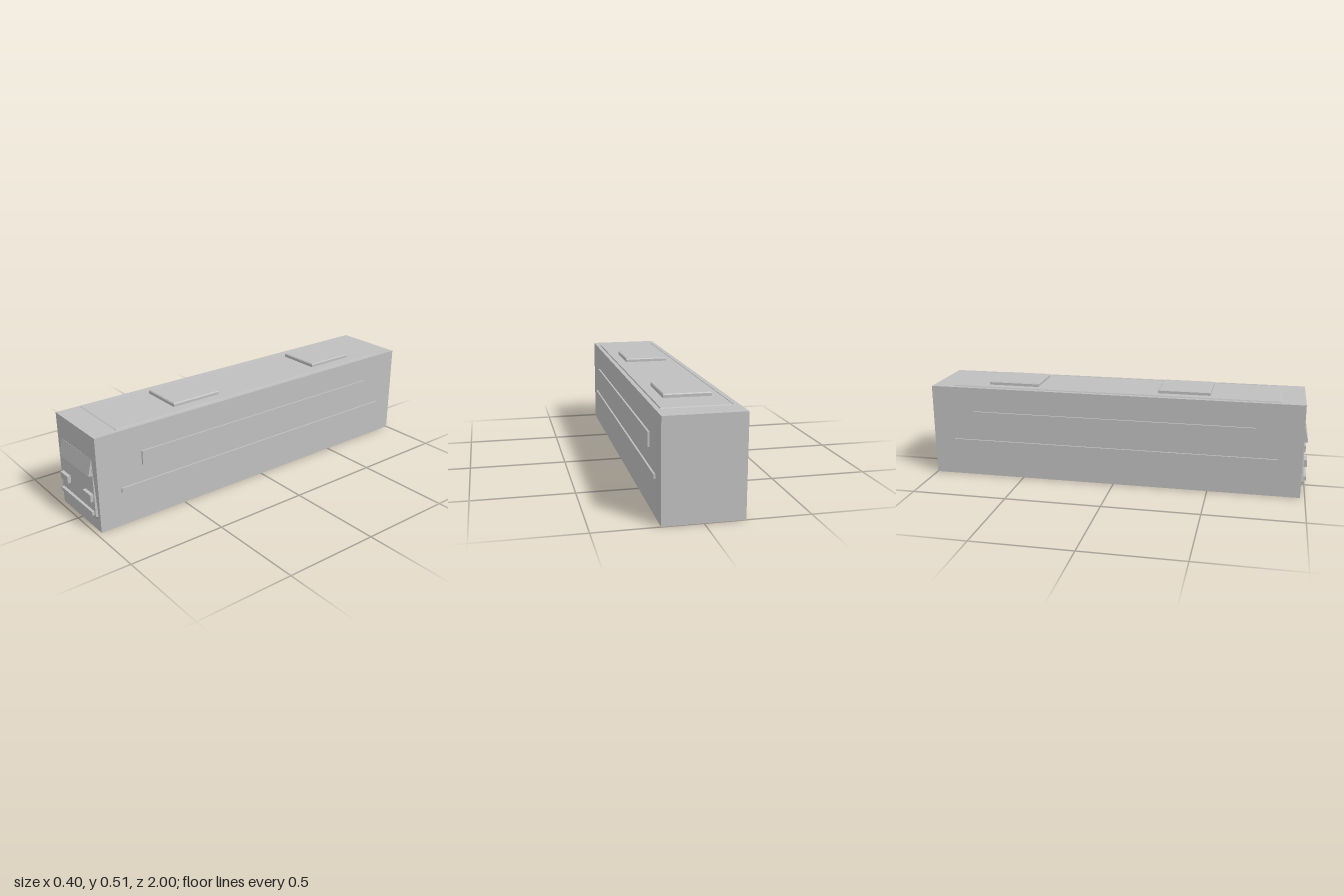
import * as THREE from 'three';

// Solid lofted from a back ring to a front ring (counter-clockwise seen from +z), flat faces
function loft(back, front) {
  const pos = [];
  const n = back.length;
  for (let i = 0; i < n; i++) {
    const j = (i + 1) % n;
    pos.push(...back[i], ...back[j], ...front[j], ...back[i], ...front[j], ...front[i]);
    if (i > 0 && i < n - 1) {
      pos.push(...front[0], ...front[i], ...front[i + 1]);
      pos.push(...back[0], ...back[i + 1], ...back[i]);
    }
  }
  const geo = new THREE.BufferGeometry();
  geo.setAttribute('position', new THREE.Float32BufferAttribute(pos, 3));
  geo.computeVertexNormals();
  return geo;
}

// Box given by its limits; the top face can be drawn in by an inset
function block(x0, x1, y0, y1, z0, z1, inset = 0) {
  const w = x1 - x0, h = y1 - y0, d = z1 - z0;
  const geo = new THREE.BoxGeometry(w, h, d);
  const p = geo.attributes.position;
  for (let i = 0; i < p.count; i++) {
    if (inset && p.getY(i) > 0) {
      p.setX(i, p.getX(i) * (1 - 2 * inset / w));
      p.setZ(i, p.getZ(i) * (1 - 2 * inset / d));
    }
  }
  geo.computeVertexNormals();
  return geo.translate((x0 + x1) / 2, (y0 + y1) / 2, (z0 + z1) / 2);
}

export function createModel() {
  const group = new THREE.Group();
  const grey = new THREE.MeshStandardMaterial({ color: 0xbfbfbf });
  grey.name = 'plain grey';
  const add = (name, geo) => {
    const mesh = new THREE.Mesh(geo, grey);
    mesh.name = name;
    group.add(mesh);
  };

  // Carriage body
  add('body', block(-0.192, 0.192, 0, 0.491, -1, 0.976));

  // Roof panel and the two square roof units
  add('roofPanel', block(-0.172, 0.172, 0.49, 0.4945, -0.88, 0.855, 0.006));
  for (const z of [-0.56, 0.36]) {
    add('roofUnitBase', block(-0.115, 0.115, 0.49, 0.508, z - 0.136, z + 0.136));
    add('roofUnitLid', block(-0.115, 0.115, 0.508, 0.513, z - 0.136, z + 0.136, 0.004));
  }

  // Mirrored side bands, roof rails and headlights
  for (const s of [-1, 1]) {
    const side = s > 0 ? 'left' : 'right';
    const mirrored = (a, b, ...rest) => block(s > 0 ? a : -b, s > 0 ? b : -a, ...rest);
    add(side + 'WindowBand', mirrored(0.185, 0.201, 0.289, 0.361, -0.765, 0.737));
    add(side + 'LowerStripe', mirrored(0.185, 0.201, 0.178, 0.201, -0.885, 0.856));
    add(side + 'RoofRail', mirrored(0.157, 0.171, 0.49, 0.4965, -0.88, 0.855, 0.003));
    add(side + 'Headlight', mirrored(0.079, 0.154, 0.156, 0.193, 0.97, 1));
  }

  // Nose panel, thickest at the bottom and fading into the body above
  add('nosePanel', loft(
    [[-0.167, 0.066, 0.97], [0.167, 0.066, 0.97], [0.176, 0.078, 0.97],
      [0.147, 0.34, 0.97], [-0.147, 0.34, 0.97], [-0.176, 0.078, 0.97]],
    [[-0.163, 0.07, 0.986], [0.163, 0.07, 0.986], [0.17, 0.08, 0.988],
      [0.146, 0.34, 0.977], [-0.146, 0.34, 0.977], [-0.17, 0.08, 0.988]],
  ));

  // Sloping windscreen wedge
  add('windscreen', loft(
    [[-0.147, 0.284, 0.97], [0.147, 0.284, 0.97], [0.147, 0.369, 0.97], [-0.147, 0.369, 0.97]],
    [[-0.147, 0.287, 0.998], [0.147, 0.287, 0.998], [0.147, 0.369, 0.977], [-0.147, 0.369, 0.977]],
  ));

  // Bumper bar
  add('bumperBar', block(-0.159, 0.159, 0.086, 0.106, 0.97, 1));

  return group;
}
